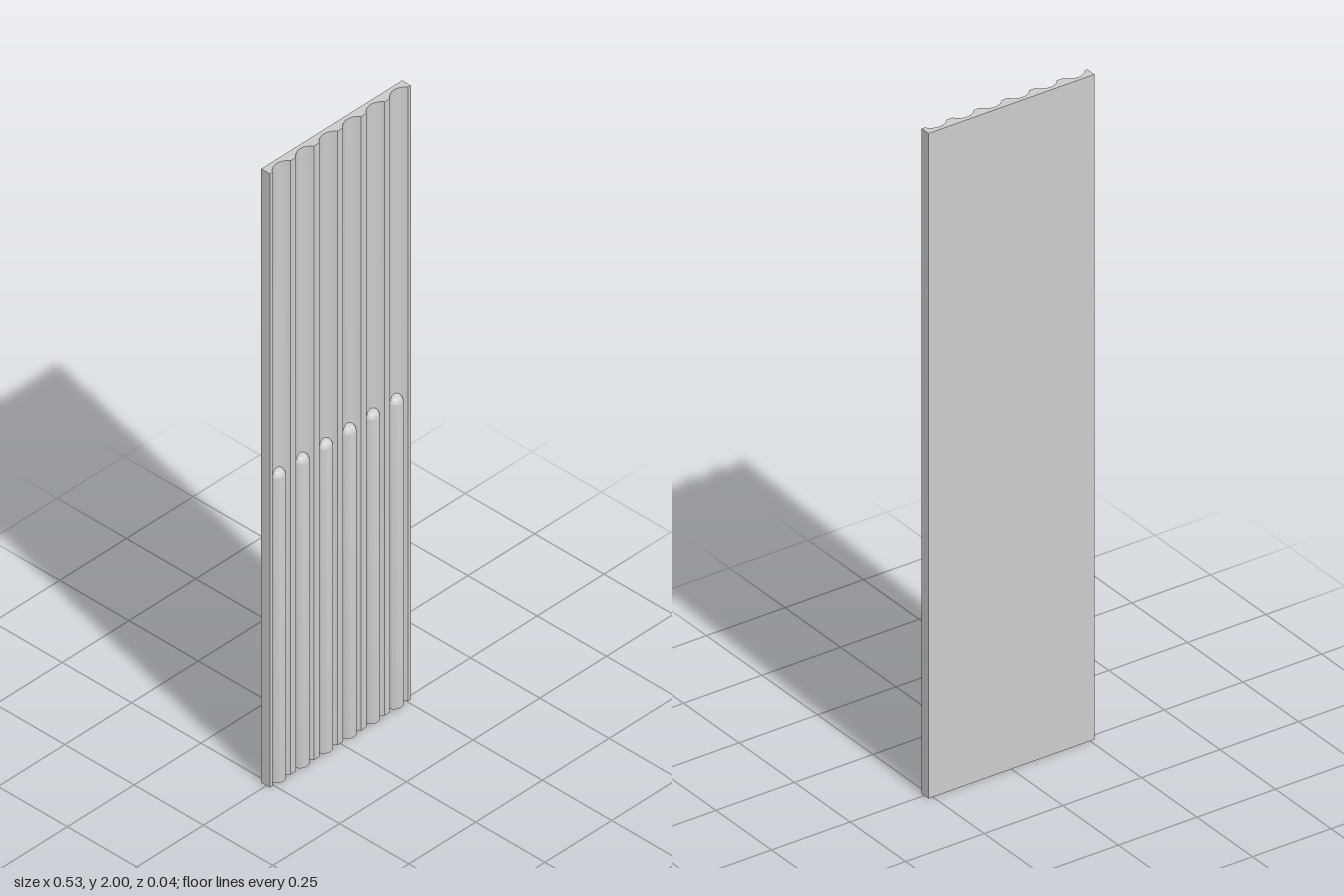
import * as THREE from 'three';
import { toCreasedNormals } from 'three/addons/utils/BufferGeometryUtils.js';

const HEIGHT = 2, HALF_WIDTH = 0.264, BACK = -0.019, FACE = 0.012;
const FLUTES = 6, PITCH = 0.088, FLUTE_HALF = 0.034, FLUTE_FLOOR = -0.006;
const REED_RADIUS = 0.0245, REED_STRAIGHT = 0.985;

const material = new THREE.MeshStandardMaterial({ color: 0xcccccc });
const fluteX = (i) => (i - (FLUTES - 1) / 2) * PITCH;

// Fluted slab: horizontal section (x, -z) extruded upwards
function panelGeometry() {
  const depth = FACE - FLUTE_FLOOR;
  const radius = (FLUTE_HALF ** 2 + depth ** 2) / (2 * depth);
  const half = Math.asin(FLUTE_HALF / radius);
  const steps = 16;
  const shape = new THREE.Shape();
  shape.moveTo(-HALF_WIDTH, -BACK);
  shape.lineTo(-HALF_WIDTH, -FACE);
  for (let i = 0; i < FLUTES; i++) {
    for (let s = 0; s <= steps; s++) {
      const a = half * ((2 * s) / steps - 1);
      const z = FLUTE_FLOOR + radius * (1 - Math.cos(a));
      shape.lineTo(fluteX(i) + radius * Math.sin(a), -z);
    }
  }
  shape.lineTo(HALF_WIDTH, -FACE);
  shape.lineTo(HALF_WIDTH, -BACK);
  shape.closePath();
  const geometry = new THREE.ExtrudeGeometry(shape, { depth: HEIGHT, bevelEnabled: false });
  geometry.rotateX(-Math.PI / 2);
  return toCreasedNormals(geometry, 0.4);
}

// Half-round reed with a domed top, open towards the slab
function reedGeometry() {
  const profile = [new THREE.Vector2(0, 0), new THREE.Vector2(REED_RADIUS, 0)];
  for (let s = 0; s <= 10; s++) {
    const a = (s / 10) * (Math.PI / 2);
    profile.push(new THREE.Vector2(
      s === 10 ? 0 : REED_RADIUS * Math.cos(a),
      REED_STRAIGHT + REED_RADIUS * Math.sin(a)
    ));
  }
  const geometry = new THREE.LatheGeometry(profile, 20, -Math.PI / 2, Math.PI);
  return toCreasedNormals(geometry, 0.6);
}

export function createModel() {
  const model = new THREE.Group();
  model.name = 'flutedPanel';

  const panel = new THREE.Mesh(panelGeometry(), material);
  panel.name = 'panel';
  model.add(panel);

  // One reed in the lower half of every flute
  const reeds = new THREE.Group();
  reeds.name = 'reeds';
  const geometry = reedGeometry();
  for (let i = 0; i < FLUTES; i++) {
    const reed = new THREE.Mesh(geometry, material);
    reed.name = `reed${i + 1}`;
    reed.position.set(fluteX(i), 0, FLUTE_FLOOR);
    reeds.add(reed);
  }
  model.add(reeds);
  return model;
}
